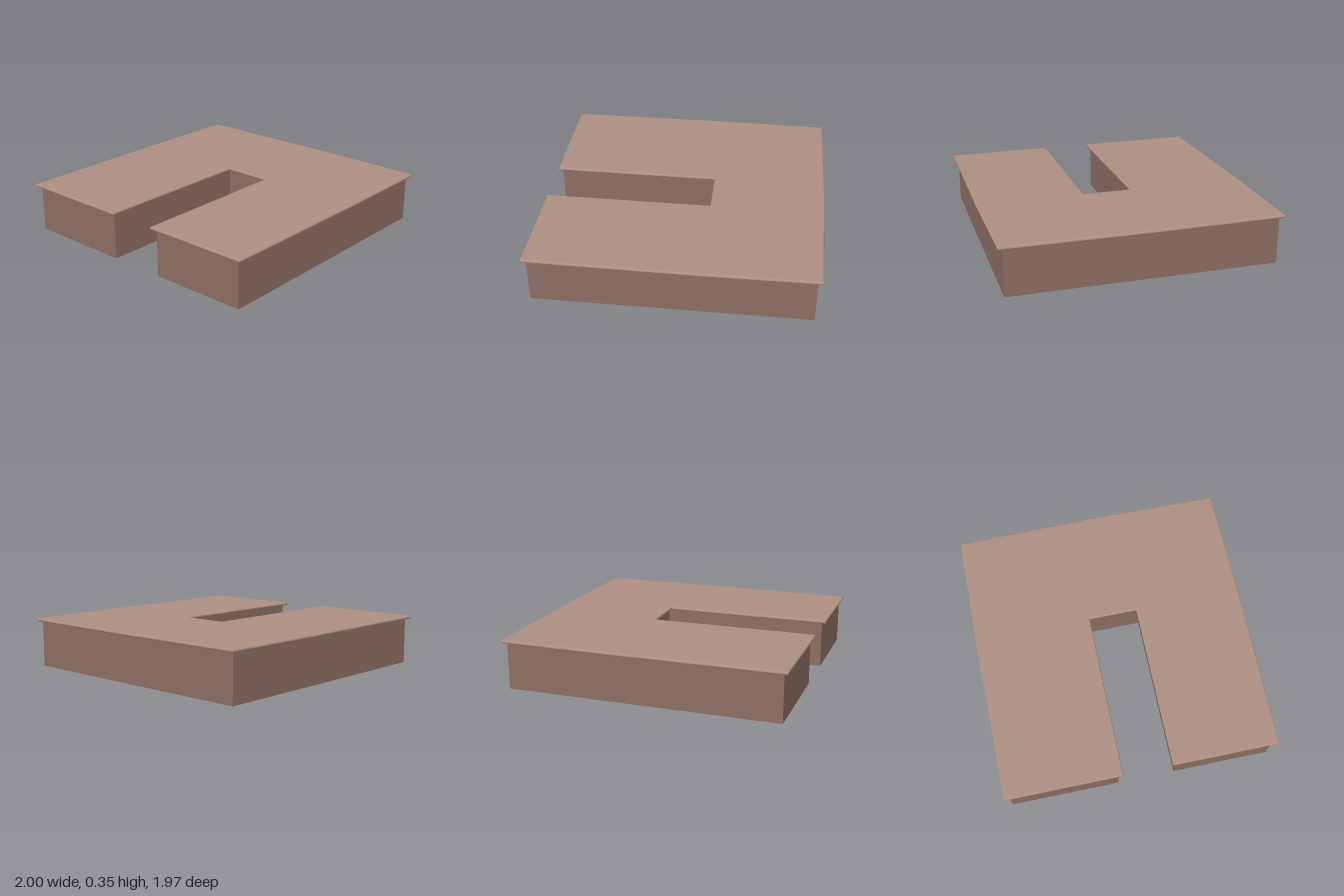
import * as THREE from 'three';

// Extrudes a plan outline given as [x, z] points upward from y = 0
function extrudePlan(points, options) {
  const shape = new THREE.Shape(points.map(([x, z]) => new THREE.Vector2(x, -z)));
  const geometry = new THREE.ExtrudeGeometry(shape, { curveSegments: 1, ...options });
  return geometry.rotateX(-Math.PI / 2);
}

export function createModel() {
  const model = new THREE.Group();
  model.name = 'uShapedPlatform';

  // Solid base with a slot open to the -x side
  const base = new THREE.Mesh(
    extrudePlan([
      [-0.97, 0.942], [0.957, 0.942], [0.957, -0.942], [-0.97, -0.942],
      [-0.97, -0.165], [0.22, -0.165], [0.22, 0.243], [-0.97, 0.243],
    ], { depth: 0.335, bevelEnabled: false }),
    new THREE.MeshStandardMaterial({ color: 0x8d6e63 })
  );
  base.name = 'base';

  // Thin overhanging slab with rounded edges and slightly bowed outer sides
  const r = 0.01;
  const thickness = 0.022;
  const slab = new THREE.Mesh(
    extrudePlan([
      [-1 + r, 0.976 - r], [0.19, 0.985 - r], [0.988 - r, 0.976 - r],
      [1 - r, 0.02],
      [0.988 - r, -0.976 - -r], [0.19, -0.985 + r], [-1 + r, -0.976 + r],
      [-1 + r, -0.138 - r], [0.188 + r, -0.138 - r],
      [0.188 + r, 0.212 + r], [-1 + r, 0.212 + r],
    ], {
      depth: thickness - 2 * r, bevelEnabled: true,
      bevelSize: r, bevelThickness: r, bevelSegments: 3,
    }),
    new THREE.MeshStandardMaterial({ color: 0xae8f82 })
  );
  slab.position.y = 0.333 + r;
  slab.name = 'topSlab';

  model.add(base, slab);
  return model;
}
